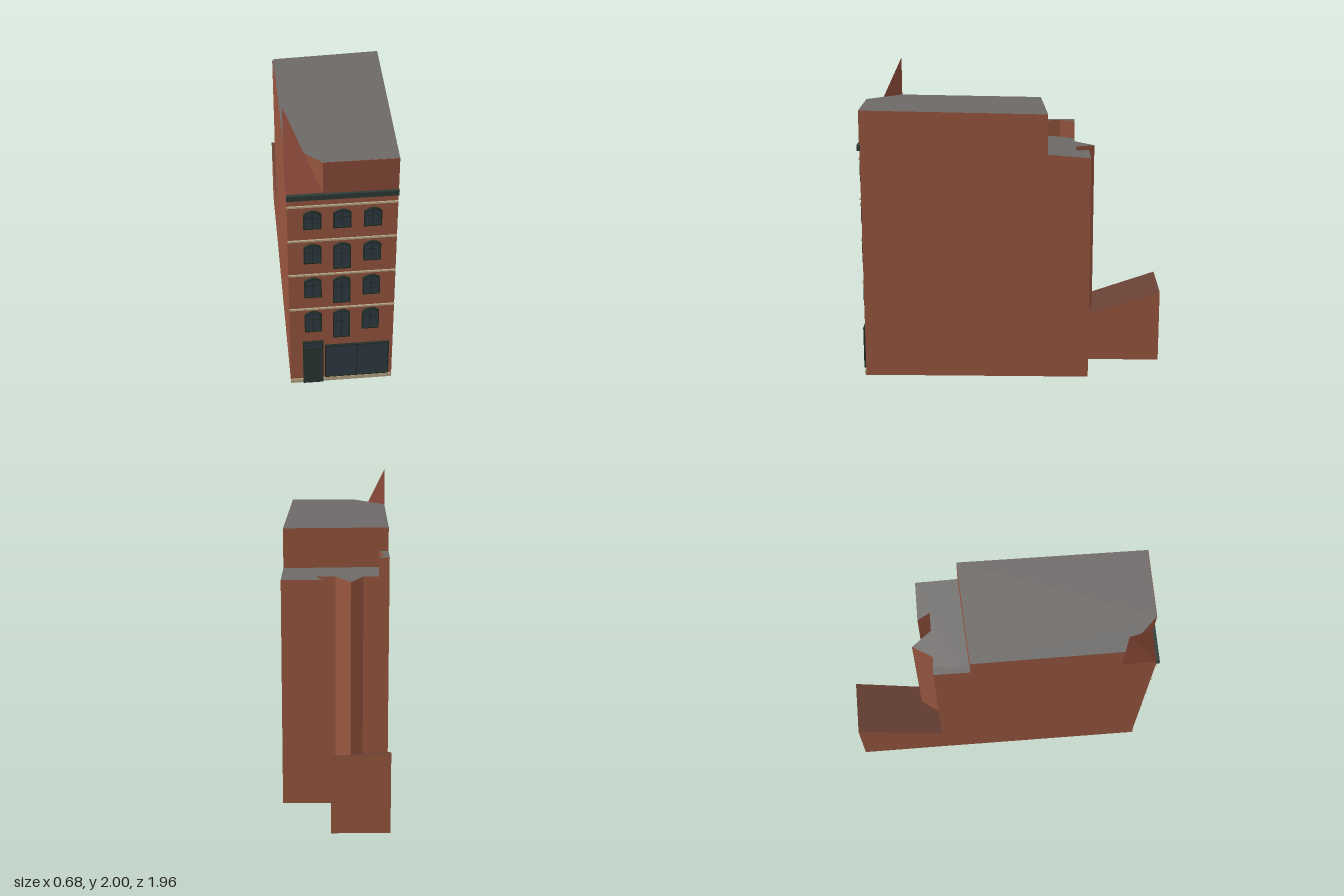
import * as THREE from 'three';
import { ConvexGeometry } from 'three/addons/geometries/ConvexGeometry.js';

const mat = (color) => new THREE.MeshStandardMaterial({ color, flatShading: true });
const brick = mat(0x98563f), tile = mat(0x8c4a39), slate = mat(0x6c6967), annexRoof = mat(0x673f34);
const glass = mat(0x303c46), frame = mat(0x222e28), cornice = mat(0x2e3b36), stone = mat(0xb9a888), doorPaint = mat(0x2b3833);
const FRONT = 0.96;

// Vertical prism over an [x, z] plan; its top follows topAt(x, z) in its own material
function prism(name, plan, y0, topAt, topMaterial) {
  const shape = new THREE.Shape(plan.map(([x, z]) => new THREE.Vector2(x, -z)));
  const g = new THREE.ExtrudeGeometry(shape, { depth: 1, bevelEnabled: false });
  g.rotateX(-Math.PI / 2);
  const p = g.attributes.position;
  for (let i = 0; i < p.count; i++) {
    p.setY(i, p.getY(i) > 0.5 ? topAt(p.getX(i), p.getZ(i)) : y0);
  }
  g.computeVertexNormals();
  const caps = g.groups[0].count;
  g.clearGroups();
  g.addGroup(0, caps / 2, 0);
  g.addGroup(caps / 2, caps / 2, 1);
  g.addGroup(caps, p.count - caps, 0);
  const m = new THREE.Mesh(g, [brick, topMaterial]);
  m.name = name;
  return m;
}

// Box given by its limits in x, y and z
function box(name, x0, x1, y0, y1, z0, z1, material) {
  const m = new THREE.Mesh(new THREE.BoxGeometry(x1 - x0, y1 - y0, z1 - z0), material);
  m.position.set((x0 + x1) / 2, (y0 + y1) / 2, (z0 + z1) / 2);
  m.name = name;
  return m;
}

// Opening outline with a shallow arched head (rise 0 gives a rectangle)
function outline(x0, x1, y0, y1, rise, Type = THREE.Shape) {
  const s = new Type();
  s.moveTo(x0, y0);
  s.lineTo(x1, y0);
  s.lineTo(x1, y1 - rise);
  if (rise) s.quadraticCurveTo((x0 + x1) / 2, y1 + rise, x0, y1 - rise);
  else s.lineTo(x0, y1);
  s.closePath();
  return s;
}

function slab(name, shape, depth, material) {
  const g = new THREE.ExtrudeGeometry(shape, { depth, bevelEnabled: false, curveSegments: 8 });
  const m = new THREE.Mesh(g, material);
  m.position.z = FRONT;
  m.name = name;
  return m;
}

// Framed glazing with one upright bar and an optional cross bar
function glazing(name, x0, x1, y0, y1, rise, crossBar) {
  const w = new THREE.Group(), t = 0.008, mid = (x0 + x1) / 2;
  w.name = name;
  const rim = outline(x0, x1, y0, y1, rise);
  rim.holes.push(outline(x0 + t, x1 - t, y0 + t, y1 - t, rise, THREE.Path));
  w.add(slab('windowFrame', rim, 0.015, frame));
  w.add(slab('windowGlass', outline(x0 + t / 2, x1 - t / 2, y0 + t / 2, y1 - t / 2, rise), 0.005, glass));
  w.add(box('uprightBar', mid - 0.003, mid + 0.003, y0 + t, y1 - t, FRONT, FRONT + 0.01, frame));
  if (crossBar) {
    const y = y0 + (y1 - y0) * 0.6;
    w.add(box('crossBar', x0 + t, x1 - t, y - 0.003, y + 0.003, FRONT, FRONT + 0.01, frame));
  }
  return w;
}

export function createModel() {
  const model = new THREE.Group();
  model.name = 'townhouse';

  // Front block, and the top storey with one front corner cut off
  model.add(prism('frontBlock',
    [[-0.34, FRONT], [0.31, FRONT], [0.33, -0.22], [-0.337, -0.185]], 0, () => 1.53, slate));
  model.add(prism('topStorey',
    [[-0.13, FRONT], [0.31, FRONT], [0.33, -0.22], [-0.337, -0.185], [-0.34, 0.745]],
    1.53, (x, z) => 1.738 + 0.0172 * z, slate));
  model.add(box('tiledRoofFront', -0.13, 0.31, 1.53, 1.753, 0.95, 0.962, tile));

  // Pointed corner peak
  const peak = new THREE.Mesh(new ConvexGeometry([
    new THREE.Vector3(-0.34, 1.53, FRONT), new THREE.Vector3(-0.13, 1.53, FRONT),
    new THREE.Vector3(-0.34, 1.53, 0.745), new THREE.Vector3(-0.34, 2, 0.745),
  ]), tile);
  peak.name = 'cornerPeak';
  model.add(peak);

  // Lower rear block with notches and a pointed bay
  model.add(prism('rearBlock', [
    [-0.337, -0.185], [0.33, -0.22], [0.335, -0.49], [0.08, -0.49], [0.12, -0.41],
    [0, -0.41], [-0.095, -0.535], [-0.175, -0.41], [-0.336, -0.41],
  ], 0, (x, z) => 1.48 + 0.08 * (z + 0.215), slate));
  model.add(prism('rearParapet',
    [[-0.337, -0.185], [-0.28, -0.188], [-0.305, -0.315], [-0.27, -0.41], [-0.336, -0.41]],
    1.4, () => 1.585, slate));

  // Low annex with a roof rising to the back
  model.add(prism('rearAnnex', [
    [-0.336, -0.41], [0.12, -0.41], [0.08, -0.49], [0.018, -0.49], [0.025, -0.98], [-0.335, -0.975],
  ], 0, (x, z) => 0.315 - 0.34 * (z + 0.49) + 0.09 * (0.02 - x), annexRoof));

  // Cornice, floor bands and plinth
  model.add(box('cornice', -0.342, 0.312, 1.5, 1.535, 0.955, 0.978, cornice));
  for (const y of [0.637, 0.917, 1.187, 1.445]) {
    model.add(box('floorBand', -0.34, 0.31, y - 0.006, y + 0.006, 0.955, 0.968, stone));
  }
  model.add(box('plinth', -0.34, -0.26, 0, 0.03, 0.955, 0.968, stone));
  model.add(box('plinth', -0.13, 0.31, 0, 0.03, 0.955, 0.968, stone));

  // Arched windows: [head, side sill, middle sill] of each floor
  const floors = [[0.618, 0.45, 0.39], [0.893, 0.74, 0.685], [1.16, 1.015, 0.963], [1.413, 1.28, 1.28]];
  for (const [head, sill, midSill] of floors) {
    [-0.193, -0.017, 0.163].forEach((x, i) => {
      model.add(glazing('archedWindow', x - 0.053, x + 0.053, i === 1 ? midSill : sill, head, 0.025, true));
    });
  }

  // Shop window and door with a fanlight
  model.add(glazing('shopWindow', -0.12, 0.287, 0.04, 0.318, 0, false));
  model.add(box('door', -0.26, -0.13, 0, 0.295, 0.955, 0.975, doorPaint));
  model.add(glazing('fanlight', -0.26, -0.13, 0.295, 0.36, 0, false));

  return model;
}
